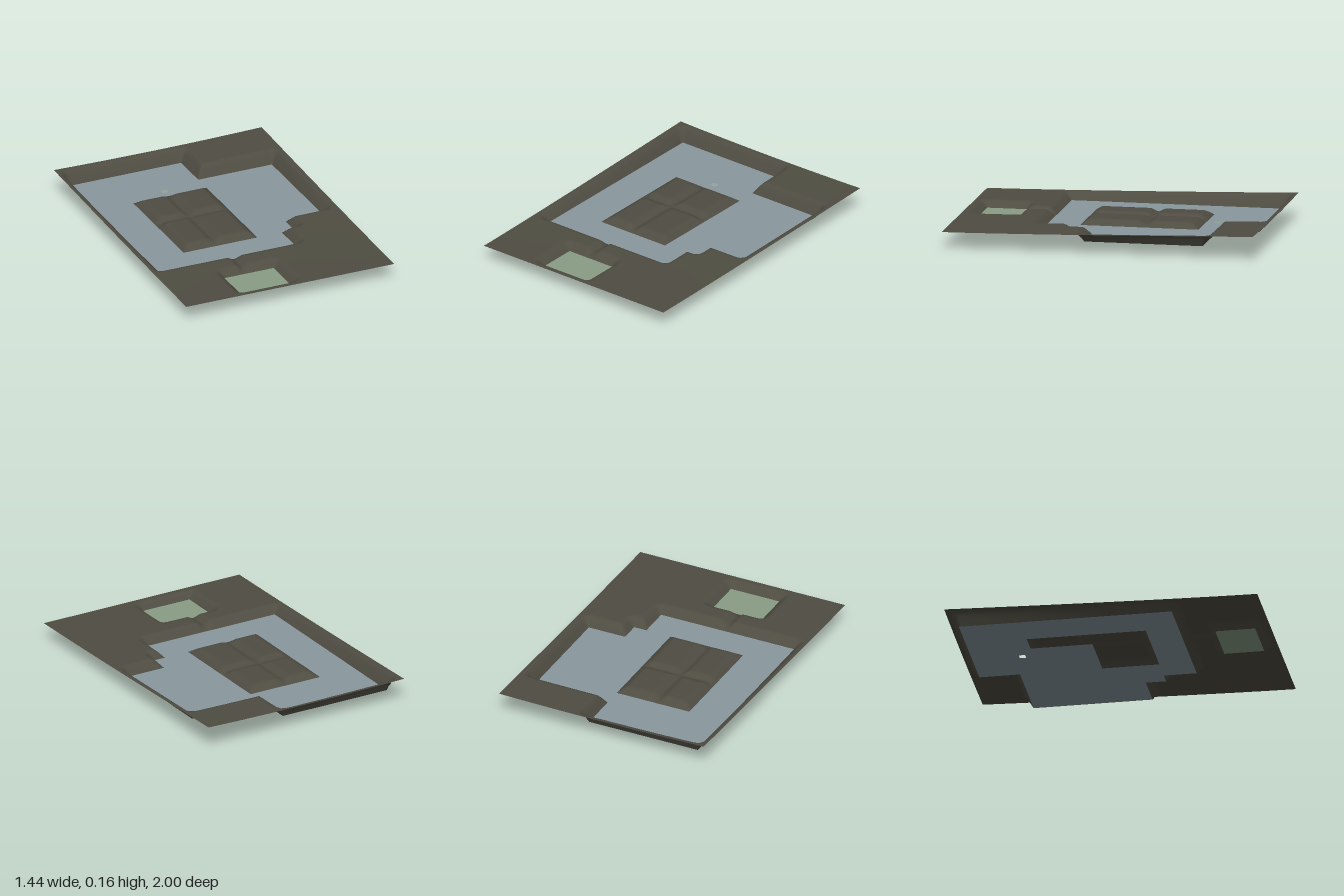
import * as THREE from 'three';

const FLOOR = 0.067, SLOPE = 0.06;

// Sunken areas as [x0, x1, z0, z1]: a ring of courts, plus the small front pit
const FRONT_PIT = [-0.3, 0.04, 0.66, 0.915];
const PITS = [
  [-0.64, 0.125, -0.92, -0.53],
  [-0.64, -0.385, -0.53, 0.44],
  [0.125, 0.635, -0.66, 0.10],
  [0.125, 0.38, 0.10, 0.23],
  [-0.385, 0.295, 0.23, 0.44],
  FRONT_PIT,
];
const ISLAND = [-0.385, 0.125, -0.53, 0.23];
const HATCH = [-0.155, -0.113, -0.62, -0.58];

// Shallow grooves: a path to the front pit and a cross over the island
const GROOVES = [
  [-0.15, -0.15, 0.44, 0.66],
  [-0.15, -0.15, -0.53, 0.23],
  [-0.385, 0.125, -0.18, -0.18],
];

const inside = ([x0, x1, z0, z1], x, z) => x > x0 && x < x1 && z > z0 && z < z1;
const distance = ([x0, x1, z0, z1], x, z) =>
  Math.hypot(Math.max(x0 - x, 0, x - x1), Math.max(z0 - z, 0, z - z1));

// Open ground rises gently to the back and sags in the middle
function groundHeight(x, z) {
  const t = (1 - z) / 2;
  return 0.108 + 0.049 * t ** 1.35 - 0.009 * t * (1 - (x / 0.72) ** 2);
}

function terrainHeight(x, z) {
  const onIsland = inside(ISLAND, x, z);
  const top = onIsland ? 0.102 : groundHeight(x, z);
  const pit = Math.min(...PITS.map((p) => distance(p, x, z)));
  const groove = Math.min(...GROOVES.map((g) => distance(g, x, z)));
  const rise = THREE.MathUtils.smoothstep(pit, -0.012, SLOPE);
  const cut = 1 - 0.6 * (1 - THREE.MathUtils.smoothstep(groove, 0, 0.05));
  return pit === 0 ? FLOOR : FLOOR + (top - FLOOR) * rise * cut;
}

// Grid lines that pass exactly through every pit edge
function gridLines(limit, edges) {
  const stops = [...new Set([-limit, ...edges, limit])].sort((a, b) => a - b);
  const lines = [stops[0]];
  for (let i = 1; i < stops.length; i++) {
    const n = Math.ceil((stops[i] - stops[i - 1]) / 0.016);
    for (let k = 1; k < n; k++) lines.push(THREE.MathUtils.lerp(stops[i - 1], stops[i], k / n));
    lines.push(stops[i]);
  }
  return lines;
}

function terrainGeometry() {
  const xs = gridLines(0.72, PITS.flatMap((p) => [p[0], p[1]]));
  const zs = gridLines(1, PITS.flatMap((p) => [p[2], p[3]]));
  const positions = [], index = [];
  for (const z of zs) for (const x of xs) positions.push(x, terrainHeight(x, z), z);
  for (let j = 0; j < zs.length - 1; j++) {
    for (let i = 0; i < xs.length - 1; i++) {
      const cx = (xs[i] + xs[i + 1]) / 2, cz = (zs[j] + zs[j + 1]) / 2;
      if (PITS.some((p) => inside(p, cx, cz))) continue;
      const a = j * xs.length + i, b = a + 1, c = a + xs.length, d = c + 1;
      index.push(a, c, b, b, c, d);
    }
  }
  const geometry = new THREE.BufferGeometry();
  geometry.setAttribute('position', new THREE.Float32BufferAttribute(positions, 3));
  geometry.setIndex(index);
  geometry.computeVertexNormals();
  return geometry;
}

// Flat plates are drawn in (x, -z) and laid down
const corners = ([x0, x1, z0, z1]) => [[x0, z0], [x1, z0], [x1, z1], [x0, z1]];
const toPoints = (list) => list.map(([x, z]) => new THREE.Vector2(x, -z));

function plateGeometry(outline, holes = []) {
  const shape = new THREE.Shape(toPoints(outline));
  for (const hole of holes) shape.holes.push(new THREE.Path(toPoints(corners(hole))));
  return new THREE.ShapeGeometry(shape).rotateX(-Math.PI / 2);
}

export function createModel() {
  const material = (name, color) => {
    const m = new THREE.MeshStandardMaterial({ color, side: THREE.DoubleSide });
    m.name = name;
    return m;
  };
  const earth = material('earth', 0x4f4d42);
  const slate = material('slate', 0x89989f);
  const moss = material('moss', 0x899d85);

  const model = new THREE.Group();
  model.name = 'sunkenCourtTerrain';
  const add = (name, geometry, mat, y = 0) => {
    const mesh = new THREE.Mesh(geometry, mat);
    mesh.name = name;
    mesh.position.y = y;
    model.add(mesh);
  };

  // Ground sheet with sloped pit walls and the mounded island
  add('terrain', terrainGeometry(), earth);

  // Main floor with openings for the island and a small hatch
  const floorOutline = [
    [-0.64, -0.92], [0.125, -0.92], [0.125, -0.66], [0.635, -0.66], [0.635, 0.10],
    [0.38, 0.10], [0.38, 0.23], [0.295, 0.23], [0.295, 0.44], [-0.64, 0.44],
  ];
  add('mainFloor', plateGeometry(floorOutline, [ISLAND, HATCH]), slate, FLOOR);

  // Floor of the front pit
  add('frontPitFloor', plateGeometry(corners(FRONT_PIT)), moss, FLOOR);

  // Lower floor hidden beneath the island
  add('lowerFloor', plateGeometry(corners([-0.385, 0.125, -0.53, -0.11])), slate);

  return model;
}
